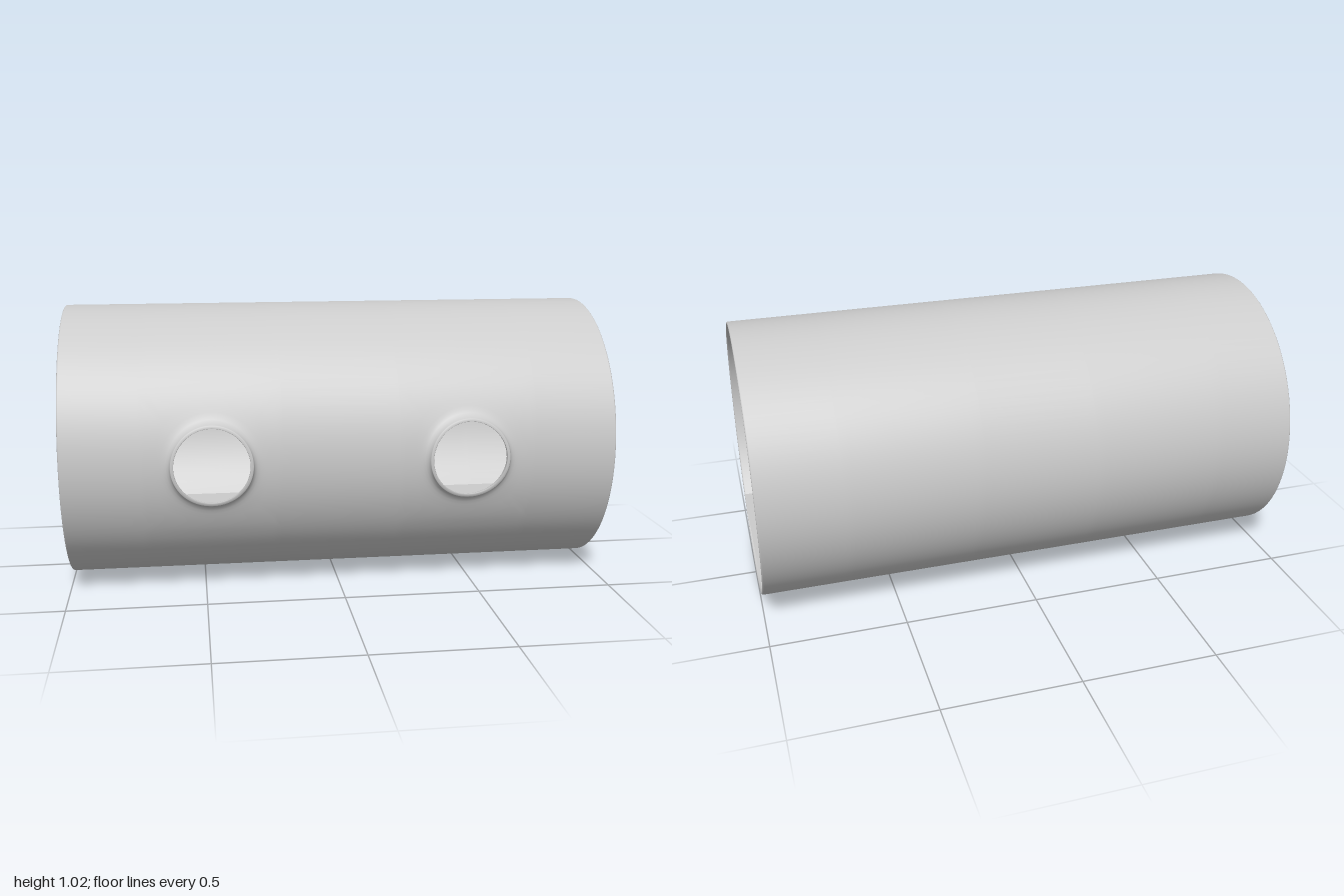
import * as THREE from 'three';
import { mergeGeometries, mergeVertices } from 'three/addons/utils/BufferGeometryUtils.js';

const RO = 0.512, RI = 0.501;          // outer and inner radius of the pipe
const CY = 0.512, CZ = -0.0125;        // pipe axis
const END = 0.9945, LIP = (RO - RI) / 2;
const HOLES = [-0.473, 0.449];
const HW = 0.25, HA = Math.PI / 6;     // half width and half angle of a hole panel
const N = 64;                          // points around a hole

// Point on the pipe from position along the axis, angle from the front, radius
const at = (x, a, r) => [x, CY + r * Math.sin(a), CZ + r * Math.cos(a)];

// Surface over a grid of points
function grid(nu, nv, f) {
  const pos = [], index = [];
  for (let i = 0; i <= nu; i++) for (let j = 0; j <= nv; j++) pos.push(...f(i, j));
  for (let i = 0; i < nu; i++) for (let j = 0; j < nv; j++) {
    const a = i * (nv + 1) + j, b = a + nv + 1;
    index.push(a, b, b + 1, a, b + 1, a + 1);
  }
  const g = new THREE.BufferGeometry();
  g.setAttribute('position', new THREE.Float32BufferAttribute(pos, 3));
  g.setIndex(index);
  return g;
}

// Sweep of an (x, radius) profile around the axis
const sweep = (profile, a0, a1, n) =>
  grid(n, profile.length - 1, (i, j) => at(profile[j][0], a0 + (a1 - a0) * i / n, profile[j][1]));

// Half-round rim at a pipe end; runs outside to inside
function rim(side) {
  const pts = [];
  for (let k = 0; k <= 6; k++) {
    const t = Math.PI * k / 6;
    pts.push([side * (END + LIP * Math.sin(t)), (RO + RI) / 2 + LIP * Math.cos(t)]);
  }
  return pts;
}

// Panel with a raised, filleted collar around a round hole
function holePanel(hx) {
  const collar = [
    [0.185, RO], [0.172, 0.5125], [0.161, 0.515], [0.153, 0.520], [0.148, 0.527], [0.146, 0.534], [0.1445, 0.537],
    [0.1355, 0.537], [0.134, 0.535],
    [0.1345, 0.526], [0.137, 0.517], [0.143, 0.509], [0.152, 0.504], [0.163, 0.5015], [0.175, RI]
  ];
  const clamp = v => THREE.MathUtils.clamp(v, -1, 1);
  const wave = t => clamp(2 - Math.min(t, 8 - t));
  const blend = 4, last = collar.length - 1, rows = last + 2 * blend;
  return grid(N, rows, (i, j) => {
    const k = THREE.MathUtils.clamp(j - blend, 0, last);
    const [rho, r] = collar[k];
    const a = 2 * Math.PI * i / N, t = (8 * i / N) % 8;
    const x = hx + rho * Math.cos(a), ang = Math.asin(rho * Math.sin(a) / r);
    // outside the collar, blend from the circle to the panel's rectangle
    const w = Math.abs(j - blend - k) / blend;
    return at(
      THREE.MathUtils.lerp(x, hx + HW * wave(t), w),
      THREE.MathUtils.lerp(ang, HA * wave((t + 6) % 8), w), r);
  });
}

function pipeGeometry() {
  // stations along the pipe, from the +x end to the -x end
  const xs = [END];
  for (const hx of [...HOLES].reverse())
    for (let k = 0; k <= 16; k++) xs.push(hx + HW - 2 * HW * k / 16);
  xs.push(-END);
  const outer = xs.map(x => [x, RO]);
  const inner = xs.map(x => [x, RI]).reverse();
  const rimL = rim(1).reverse(), rimR = rim(-1);
  const [h0, h1] = HOLES;

  const parts = [
    // closed wall section behind the hole panels
    sweep([...outer, ...rimR.slice(1), ...inner.slice(1), ...rimL.slice(1)], HA, 2 * Math.PI - HA, 80),
    // front wall at the two ends
    sweep([[h1 + HW, RI], ...rimL, [h1 + HW, RO]], -HA, HA, 16),
    sweep([[h0 - HW, RO], ...rimR, [h0 - HW, RI]], -HA, HA, 16),
    // front wall between the holes
    sweep([[h1 - HW, RO], [h0 + HW, RO]], -HA, HA, 16),
    sweep([[h0 + HW, RI], [h1 - HW, RI]], -HA, HA, 16),
    ...HOLES.map(holePanel)
  ];
  const g = mergeVertices(mergeGeometries(parts), 1e-5);
  g.computeVertexNormals();
  return g;
}

export function createModel() {
  const model = new THREE.Group();
  model.name = 'pipe';

  const wall = new THREE.Mesh(pipeGeometry(), new THREE.MeshStandardMaterial({ color: 0xcccccc }));
  wall.name = 'pipeWall';
  model.add(wall);

  // Flat sheet lying low inside the pipe
  const floorY = 0.163;
  const halfWidth = Math.sqrt(RI * RI - (CY - floorY) ** 2);
  const floor = new THREE.Mesh(
    new THREE.PlaneGeometry(2, 2 * halfWidth).rotateX(-Math.PI / 2),
    new THREE.MeshStandardMaterial({ color: 0xcccccc, side: THREE.DoubleSide }));
  floor.position.set(0, floorY, CZ);
  floor.name = 'innerFloor';
  model.add(floor);

  return model;
}
